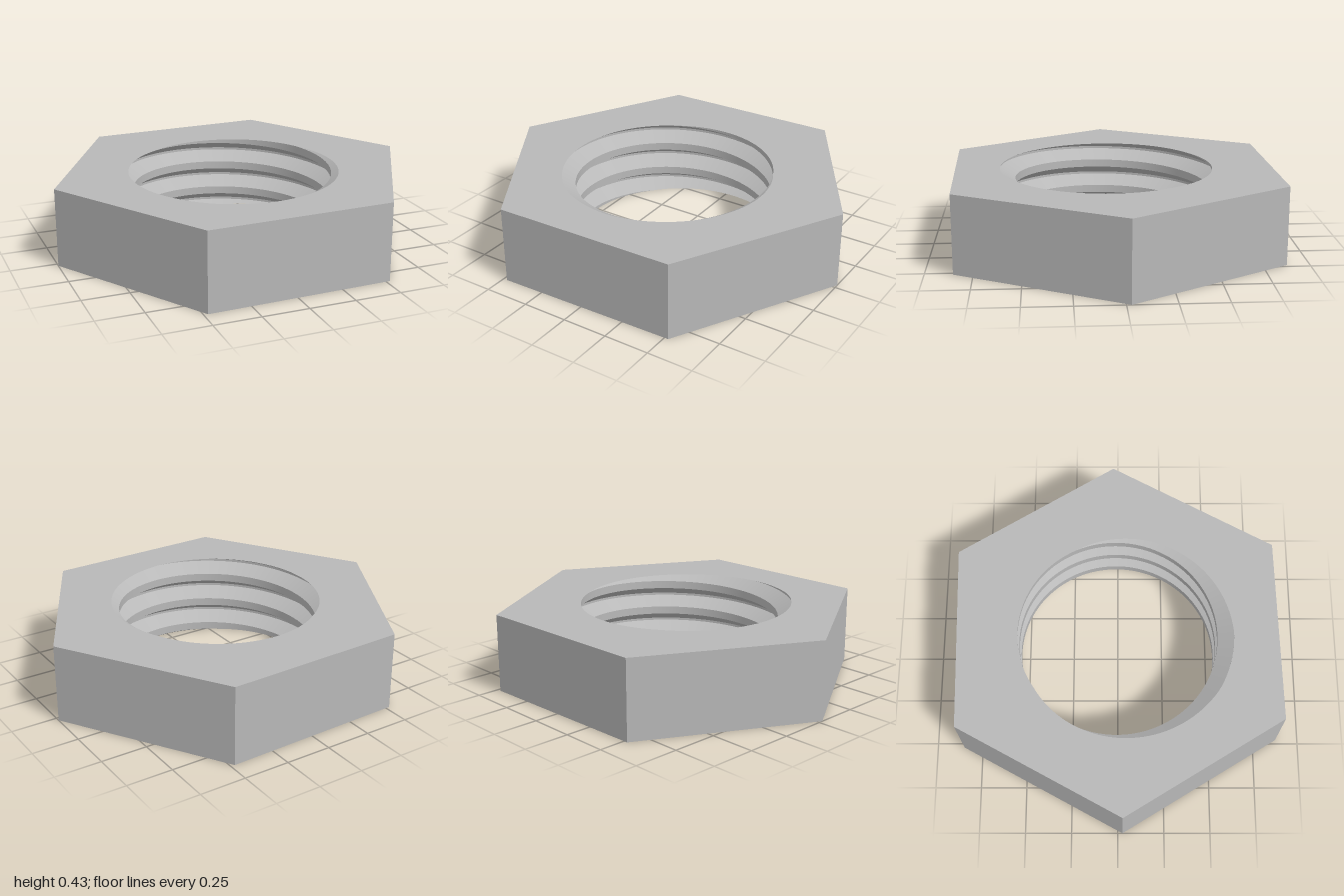
import * as THREE from 'three';
import { toCreasedNormals } from 'three/addons/utils/BufferGeometryUtils.js';

const HEIGHT = 0.425, PITCH = 0.158, MINOR = 0.54, MAJOR = 0.625;
const STEPS = 120, START = THREE.MathUtils.degToRad(28.55), TURN = Math.PI * 2;
const APOTHEM = Math.cos(Math.PI / 6);

// One thread pitch, rising: root, overhanging flank, crest, lower flank
const PROFILE = [[0, MAJOR], [0.083, MAJOR], [0.403, MINOR], [0.68, MINOR], [1, MAJOR]];

const angleAt = (i) => START + (i / STEPS) * TURN;
const point = (a, r, y) => new THREE.Vector3(-Math.sin(a) * r, y, Math.cos(a) * r);

// Bore radius where the right-hand helix passes angle a at height y
function boreRadius(a, y) {
  const phase = a / TURN + (y - HEIGHT) / PITCH;
  const p = phase - Math.floor(phase);
  const k = PROFILE.findIndex((c, i) => i > 0 && p <= c[0]);
  const [p0, r0] = PROFILE[k - 1], [p1, r1] = PROFILE[k];
  return r0 + ((r1 - r0) * (p - p0)) / (p1 - p0);
}

function hexRadius(i) {
  const inSide = ((i % (STEPS / 6)) / STEPS) * TURN;
  return APOTHEM / Math.cos(inSide - Math.PI / 6);
}

// Collects triangles, leaving out those that collapse to nothing
function surface() {
  const pos = [], tri = new THREE.Triangle();
  const add = (a, b, c) => {
    if (tri.set(a, b, c).getArea() > 1e-9) for (const v of [a, b, c]) pos.push(v.x, v.y, v.z);
  };
  return {
    quad(a, b, c, d) { add(a, b, c); add(a, c, d); },
    build(crease) {
      const g = new THREE.BufferGeometry();
      g.setAttribute('position', new THREE.Float32BufferAttribute(pos, 3));
      return toCreasedNormals(g, crease);
    },
  };
}

// Hexagonal outside with flat top and bottom faces around the bore
function hexBodyGeometry() {
  const s = surface();
  for (let i = 0; i < STEPS; i++) {
    const a = angleAt(i), b = angleAt(i + 1);
    const ring = (y) => [
      point(a, boreRadius(a, y), y), point(b, boreRadius(b, y), y),
      point(b, hexRadius(i + 1), y), point(a, hexRadius(i), y),
    ];
    const top = ring(HEIGHT), bottom = ring(0);
    s.quad(...top);
    s.quad(bottom[3], bottom[2], bottom[1], bottom[0]);
    s.quad(bottom[2], bottom[3], top[3], top[2]);
  }
  return s.build(0.3);
}

// Helical thread, trimmed level with the top and bottom faces
function threadGeometry() {
  const s = surface();
  const corners = [];
  for (let n = -4; n <= 3; n++) for (const [c] of PROFILE.slice(0, 4)) corners.push(c + n);
  const column = (a) => corners.map((c) => {
    const y = THREE.MathUtils.clamp(HEIGHT + PITCH * (c - a / TURN), 0, HEIGHT);
    return point(a, boreRadius(a, y), y);
  });
  for (let i = 0; i < STEPS; i++) {
    const p = column(angleAt(i)), q = column(angleAt(i + 1));
    for (let k = 0; k < corners.length - 1; k++) s.quad(p[k], q[k], q[k + 1], p[k + 1]);
  }
  return s.build(0.4);
}

export function createModel() {
  const steel = new THREE.MeshStandardMaterial({ color: 0xb8b8b8 });
  steel.name = 'steel grey';
  const group = new THREE.Group();
  group.name = 'hexNut';
  const parts = { hexBody: hexBodyGeometry(), innerThread: threadGeometry() };
  for (const [name, geometry] of Object.entries(parts)) {
    const mesh = new THREE.Mesh(geometry, steel);
    mesh.name = name;
    group.add(mesh);
  }
  return group;
}
